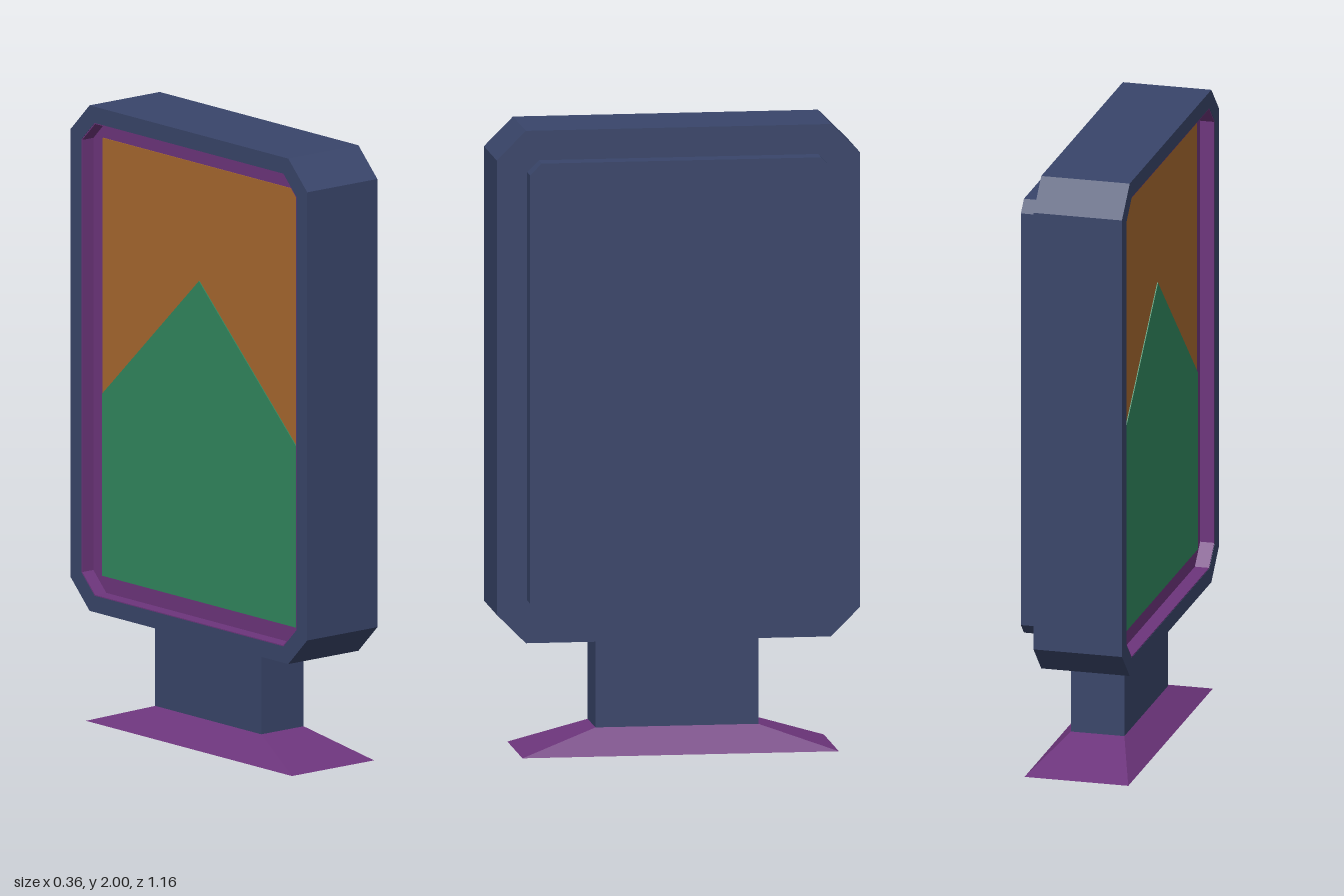
import * as THREE from 'three';

const material = (color) => new THREE.MeshStandardMaterial({ color, flatShading: true });

// Corner points, in (z, y), of a rectangle with cut corners
function cutRect(halfW, y0, y1, c) {
  return [
    [-halfW + c, y0], [halfW - c, y0], [halfW, y0 + c], [halfW, y1 - c],
    [halfW - c, y1], [-halfW + c, y1], [-halfW, y1 - c], [-halfW, y0 + c],
  ].map(([z, y]) => new THREE.Vector2(z, y));
}

// Extrude a (z, y) outline between two x positions
function slab(name, outline, x0, x1, mat, hole) {
  const shape = new THREE.Shape(outline);
  if (hole) shape.holes.push(new THREE.Path(hole));
  const geo = new THREE.ExtrudeGeometry(shape, { depth: x1 - x0, bevelEnabled: false });
  geo.rotateY(-Math.PI / 2).translate(x1, 0, 0);
  const mesh = new THREE.Mesh(geo, mat);
  mesh.name = name;
  return mesh;
}

export function createModel() {
  const group = new THREE.Group();
  group.name = 'advertisingSign';
  const navy = material(0x39456a);
  const purple = material(0x6d357c);
  const orange = material(0xa8692f);
  const green = material(0x32885f);

  // Housing: solid rear part and a raised frame around the display
  const outer = cutRect(0.58, 0.36, 2.0, 0.093);
  const opening = cutRect(0.527, 0.413, 1.947, 0.064);
  group.add(slab('housing', outer, -0.13, 0.11, navy));
  group.add(slab('displayFrame', outer, -0.18, -0.13, navy, opening));
  group.add(slab('backPanel', cutRect(0.483, 0.46, 1.905, 0.037), 0.11, 0.178, navy));

  // Purple lining of the recess: walls and floor
  group.add(slab('recessLining', opening, -0.179, -0.13, purple, cutRect(0.524, 0.416, 1.944, 0.063)));
  group.add(slab('recessFloor', opening, -0.133, -0.13, purple));

  // Poster with a pointed hill
  const v = (z, y) => new THREE.Vector2(z, y);
  group.add(slab('posterSky', [v(-0.475, 0.47), v(0.475, 0.47), v(0.475, 1.89), v(-0.475, 1.89)],
    -0.136, -0.133, orange));
  group.add(slab('posterHill', [v(-0.475, 0.47), v(0.475, 0.47), v(0.475, 1.06), v(0, 1.51), v(-0.475, 1.06)],
    -0.139, -0.136, green));

  // Post
  const post = new THREE.Mesh(new THREE.BoxGeometry(0.175, 0.28, 0.52), navy);
  post.name = 'post';
  post.position.set(-0.0125, 0.22, 0);
  group.add(post);

  // Foot: a box whose top is drawn in to the size of the post
  const footGeo = new THREE.BoxGeometry(0.34, 0.08, 1.01).translate(-0.01, 0.04, 0);
  const p = footGeo.attributes.position;
  for (let i = 0; i < p.count; i++) {
    if (p.getY(i) > 0.04) {
      p.setX(i, p.getX(i) > 0 ? 0.075 : -0.1);
      p.setZ(i, Math.sign(p.getZ(i)) * 0.26);
    }
  }
  footGeo.computeVertexNormals();
  const foot = new THREE.Mesh(footGeo, purple);
  foot.name = 'foot';
  group.add(foot);

  return group;
}
